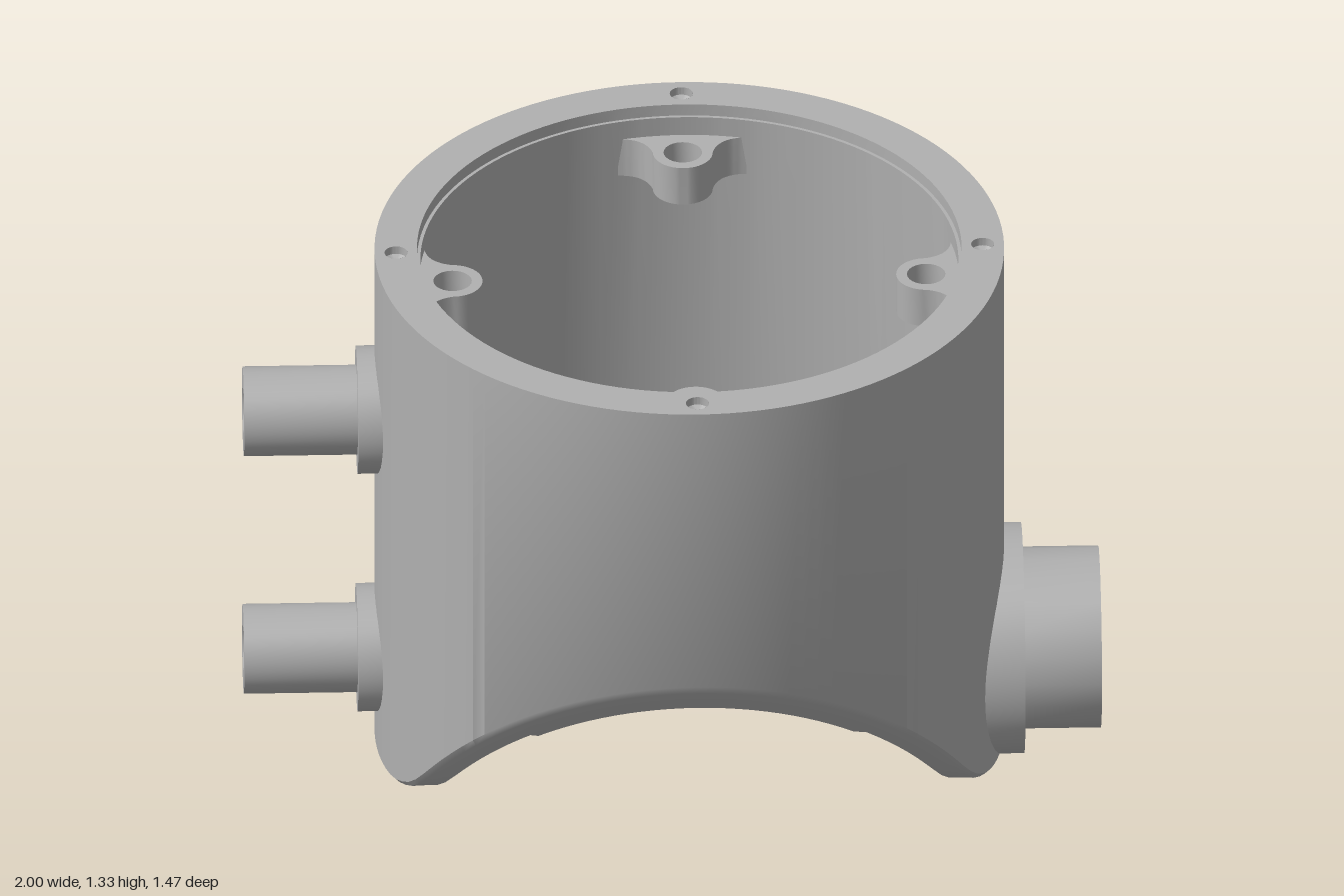
import * as THREE from 'three';
import { toCreasedNormals } from 'three/addons/utils/BufferGeometryUtils.js';

const CX = 0.042, TOP = 1.33, R = 0.735, R_IN = 0.636, N = 128;

// Height of the saddle-cut lower edge at distance |z| from the centre
const EDGE = [[0, 0], [0.1, 0.004], [0.2, 0.014], [0.26, 0.03], [0.31, 0.056], [0.35, 0.09], [0.385, 0.13], [0.735, 0.57]];
function edgeY(z) {
  z = Math.min(Math.abs(z), 0.735);
  for (let i = 1; i < EDGE.length; i++) {
    const [z0, y0] = EDGE[i - 1], [z1, y1] = EDGE[i];
    if (z <= z1) return y0 + (y1 - y0) * (z - z0) / (z1 - z0);
  }
  return EDGE[EDGE.length - 1][1];
}

// Wall cross-section at an angle: up the outside, down the stepped inside
function wallProfile(a) {
  const y = r => edgeY(r * Math.sin(a));
  const step = r => Math.max(0.33, y(r));
  return [
    [R, y(R) + 0.01], [R, TOP],
    [R_IN, TOP], [R_IN, 1.3], [0.628, 1.3],
    [0.662, step(0.662)], [0.676, step(0.676)], [0.676, y(0.676)],
    [0.725, y(0.725)], [R, y(R) + 0.01],
  ];
}

function wallGeometry() {
  const pos = [], idx = [];
  let m = 0;
  for (let i = 0; i <= N; i++) {
    const a = (i % N) / N * Math.PI * 2;
    const p = wallProfile(a);
    m = p.length;
    for (const [r, y] of p) pos.push(r * Math.cos(a), y, r * Math.sin(a));
  }
  for (let i = 0; i < N; i++) {
    for (let j = 0; j < m - 1; j++) {
      if (j === 1) continue; // the rim face is a separate part with holes
      const a = i * m + j, b = a + 1, c = a + m, d = c + 1;
      idx.push(a, b, c, c, b, d);
    }
  }
  const g = new THREE.BufferGeometry();
  g.setAttribute('position', new THREE.Float32BufferAttribute(pos, 3));
  g.setIndex(idx);
  return toCreasedNormals(g, 0.6);
}

function circlePath(x, y, r) {
  return new THREE.Path().absarc(x, y, r, 0, Math.PI * 2, true);
}

function extrude(shape, depth, curveSegments) {
  return toCreasedNormals(new THREE.ExtrudeGeometry(shape, { depth, curveSegments, bevelEnabled: false }), 0.5);
}

// Drilled hole with a conical bottom, opening towards +y
function pitGeometry(r, depth) {
  const pts = [[0, -depth - r * 0.6], [r, -depth], [r, 0]].map(p => new THREE.Vector2(...p));
  return toCreasedNormals(new THREE.LatheGeometry(pts, 24), 0.5);
}

export function createModel() {
  const model = new THREE.Group();
  model.name = 'cylindricalHousing';
  const metal = new THREE.MeshStandardMaterial({ color: 0xb0b0b0, side: THREE.DoubleSide });
  metal.name = 'grey metal';

  function add(name, geometry, x = 0, y = 0, z = 0) {
    const mesh = new THREE.Mesh(geometry, metal);
    mesh.name = name;
    mesh.position.set(x, y, z);
    model.add(mesh);
    return mesh;
  }

  add('housingWall', wallGeometry(), CX);

  // Flat top rim with four screw holes
  const rim = new THREE.Shape().absarc(0, 0, R, 0, Math.PI * 2, false);
  rim.holes.push(circlePath(0, 0, R_IN));
  for (let k = 0; k < 4; k++) {
    const a = k * Math.PI / 2, x = 0.685 * Math.cos(a), z = 0.685 * Math.sin(a);
    rim.holes.push(circlePath(x, z, 0.027));
    add('rimScrewHole', pitGeometry(0.027, 0.02), CX + x, TOP, z);
  }
  const rimGeometry = new THREE.ShapeGeometry(rim, N / 2);
  rimGeometry.rotateX(-Math.PI / 2);
  add('topRim', rimGeometry, CX, TOP);

  // Four inner mounting lugs flaring into the wall
  const lug = new THREE.Shape();
  lug.moveTo(-0.15, 0.615);
  lug.quadraticCurveTo(-0.085, 0.615, -0.07, 0.553);
  lug.absarc(0, 0.553, 0.07, Math.PI, Math.PI * 2, false);
  lug.quadraticCurveTo(0.085, 0.615, 0.15, 0.615);
  lug.lineTo(0.15, 0.64);
  lug.lineTo(0, 0.66);
  lug.lineTo(-0.15, 0.64);
  lug.closePath();
  lug.holes.push(circlePath(0, 0.553, 0.045));
  const lugGeometry = extrude(lug, 0.1, 12);
  lugGeometry.rotateX(-Math.PI / 2);
  for (let k = 0; k < 4; k++) add('mountingLug', lugGeometry, CX, 1.15).rotation.y = k * Math.PI / 2;

  // Pivot flange on the left, cut flat at the base
  const py = 0.247, cut = Math.asin((py - 0.003) / 0.27);
  const flange = new THREE.Shape().absarc(0, 0, 0.27, -cut, Math.PI + cut, false);
  flange.closePath();
  const flangeGeometry = extrude(flange, 0.1, 24);
  flangeGeometry.rotateY(Math.PI / 2);
  add('pivotFlange', flangeGeometry, 0.72, py);

  // Pivot boss with three drilled holes
  const boss = new THREE.Shape().absarc(0, 0, 0.213, 0, Math.PI * 2, false);
  for (let k = 0; k < 3; k++) {
    const a = -Math.PI / 2 + k * Math.PI * 2 / 3, z = 0.169 * Math.cos(a), y = 0.169 * Math.sin(a);
    boss.holes.push(circlePath(z, y, 0.036));
    add('bossHole', pitGeometry(0.036, 0.05), 1, py + y, -z).rotation.z = -Math.PI / 2;
  }
  const bossGeometry = extrude(boss, 0.185, 10);
  bossGeometry.rotateY(Math.PI / 2);
  add('pivotBoss', bossGeometry, 0.815, py);

  // Two hollow collared pipes on the right
  const pipe = [[0, 0.75], [0.055, 0.75], [0.055, 1], [0.105, 1], [0.105, 0.735], [0.15, 0.735], [0.15, 0.65]]
    .map(([r, h]) => new THREE.Vector2(r, h)).reverse();
  const pipeGeometry = toCreasedNormals(new THREE.LatheGeometry(pipe, 32), 0.5);
  for (const y of [0.247, 0.9]) add('collaredPipe', pipeGeometry, 0, y).rotation.z = Math.PI / 2;

  return model;
}
